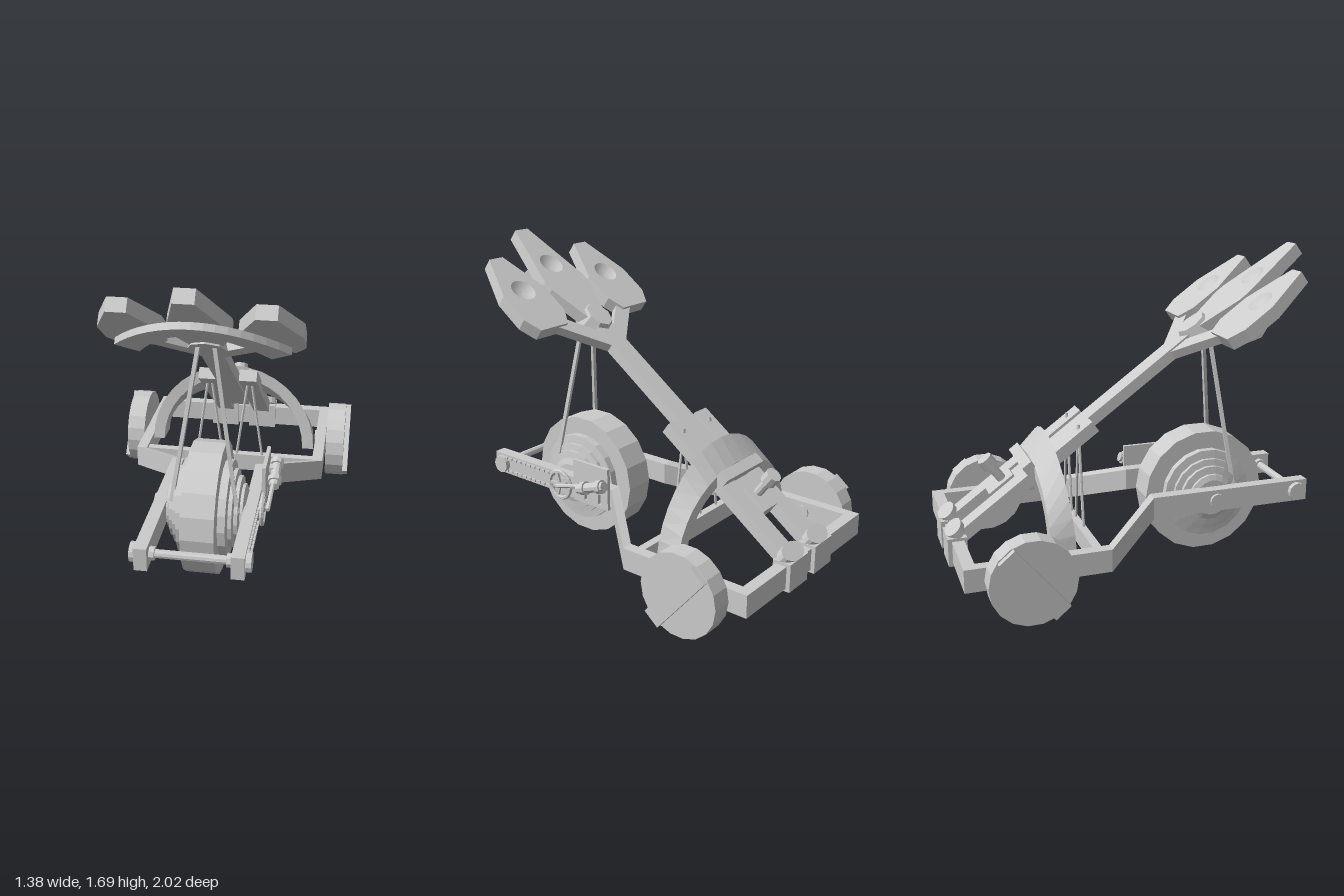
import * as THREE from 'three';

const mat = new THREE.MeshStandardMaterial({ color: 0xcccccc, flatShading: true });
const smooth = new THREE.MeshStandardMaterial({ color: 0xcccccc, side: THREE.DoubleSide });

function add(parent, name, geo, x = 0, y = 0, z = 0, material = mat) {
  const m = new THREE.Mesh(geo, material);
  m.name = name;
  m.position.set(x, y, z);
  parent.add(m);
  return m;
}
const box = (p, name, w, h, d, x, y, z) => add(p, name, new THREE.BoxGeometry(w, h, d), x, y, z);

// Cylinder whose axis runs along x
function disc(p, name, r, w, x, y, z, seg = 16) {
  return add(p, name, new THREE.CylinderGeometry(r, r, w, seg).rotateZ(Math.PI / 2), x, y, z);
}

// Straight bar between two points
function bar(p, name, a, b, w, h, round = 0) {
  const A = new THREE.Vector3(...a), B = new THREE.Vector3(...b), len = A.distanceTo(B);
  const geo = round ? new THREE.CylinderGeometry(w, w, len, round).rotateX(Math.PI / 2) : new THREE.BoxGeometry(w, h, len);
  const m = add(p, name, geo);
  m.position.copy(A).lerp(B, 0.5);
  m.quaternion.setFromUnitVectors(new THREE.Vector3(0, 0, 1), B.clone().sub(A).normalize());
  return m;
}

// Solid skin over a row of four-cornered cross-sections, turned outward
function loft(sections) {
  const pos = [], idx = [], n = sections.length;
  sections.forEach(s => s.forEach(v => pos.push(...v)));
  for (let i = 0; i < n - 1; i++) for (let j = 0; j < 4; j++) {
    const a = i * 4 + j, b = i * 4 + (j + 1) % 4;
    idx.push(a, b, b + 4, a, b + 4, a + 4);
  }
  const e = (n - 1) * 4;
  idx.push(0, 2, 1, 0, 3, 2, e, e + 1, e + 2, e, e + 2, e + 3);
  const v = i => new THREE.Vector3().fromArray(pos, i * 3);
  let volume = 0;
  for (let i = 0; i < idx.length; i += 3) volume += v(idx[i]).dot(v(idx[i + 1]).cross(v(idx[i + 2])));
  if (volume < 0) idx.reverse();
  let g = new THREE.BufferGeometry();
  g.setAttribute('position', new THREE.Float32BufferAttribute(pos, 3));
  g.setIndex(idx);
  g = g.toNonIndexed();
  g.computeVertexNormals();
  return g;
}

// Six-sided paddle with a shallow round bowl in its upper face
function paddle(parent, x, s0, sMid0, sMid1, s1, backHalf, cup) {
  const g = new THREE.Group();
  g.name = 'paddle';
  const outline = [[-backHalf, s0], [backHalf, s0], [0.15, sMid0], [0.15, sMid1], [0.048, s1], [-0.048, s1], [-0.15, sMid1], [-0.15, sMid0]];
  const shape = () => new THREE.Shape(outline.map(([a, b]) => new THREE.Vector2(a, b)));
  const slab = (s, depth) => new THREE.ExtrudeGeometry(s, { depth, bevelEnabled: false, curveSegments: 10 }).rotateX(Math.PI / 2);
  const top = shape();
  top.holes.push(new THREE.Path().absarc(0, cup, 0.07, 0, Math.PI * 2, true));
  add(g, 'paddleTop', slab(top, 0.025), 0, 0.035, 0);
  add(g, 'paddleBase', slab(shape(), 0.045), 0, 0.01, 0);
  const profile = [[0, -0.023], [0.025, -0.021], [0.05, -0.012], [0.07, 0]].map(q => new THREE.Vector2(...q));
  add(g, 'bowl', new THREE.LatheGeometry(profile, 20), 0, 0.035, cup, smooth);
  g.position.x = x;
  parent.add(g);
}

export function createModel() {
  const root = new THREE.Group();
  root.name = 'catapultCart';

  // Chassis: mirrored bent rails, rear bar and cross bar
  const path = [[1, 0.2, 0.265, 0.29, 0.41], [0.09, 0.2, 0.265, 0.29, 0.41], [-0.235, 0.49, 0.55, 0.165, 0.285], [-0.975, 0.49, 0.55, 0.165, 0.285]];
  for (const s of [-1, 1]) {
    add(root, 'sideRail', loft(path.map(([z, a, b, lo, hi]) => [[s * a, lo, z], [s * b, lo, z], [s * b, hi, z], [s * a, hi, z]])));
    disc(root, 'frontAxleCap', 0.05, 0.03, s * 0.278, 0.35, 0.935, 12);
    disc(root, 'frontAxleNut', 0.035, 0.03, s * 0.188, 0.35, 0.935, 8);
  }
  box(root, 'rearBar', 1.1, 0.12, 0.062, 0, 0.225, -0.944);
  box(root, 'crossBar', 0.99, 0.1, 0.045, 0, 0.22, -0.288);
  disc(root, 'frontRod', 0.022, 0.54, 0, 0.35, 0.935, 10);

  // Front wheel: wide tyre with stepped hubs
  const steps = [[0, -0.205], [0.1, -0.205], [0.13, -0.195], [0.13, -0.18], [0.17, -0.175], [0.17, -0.155], [0.205, -0.15], [0.205, -0.13], [0.25, -0.125], [0.25, -0.085], [0.345, -0.085]];
  const profile = [...steps, ...steps.map(([r, y]) => [r, -y]).reverse()].map(q => new THREE.Vector2(...q));
  add(root, 'frontWheel', new THREE.LatheGeometry(profile, 18).rotateZ(Math.PI / 2), 0, 0.345, 0.455);
  disc(root, 'frontWheelAxle', 0.04, 0.56, 0, 0.35, 0.455, 12);

  // Rear wheels with a raised diagonal bar
  for (const s of [-1, 1]) {
    disc(root, 'rearWheel', 0.22, 0.105, s * 0.61, 0.22, -0.66, 18);
    disc(root, 'rearAxle', 0.04, 0.1, s * 0.53, 0.225, -0.66, 10);
    box(root, 'wheelBar', 0.03, 0.1, 0.42, s * 0.677, 0.22, -0.66).rotation.x = 0.88;
  }

  // Arch with a top that slopes down to the rear
  const arch = [];
  for (let i = 0; i <= 18; i++) {
    const a = Math.PI * i / 18, c = Math.cos(a), t = Math.sin(a), zf = -0.4 - 0.035 * t;
    arch.push([[0.485 * c, 0.27 + 0.495 * t, zf], [0.48 * c, 0.27 + 0.375 * t, -0.53], [0.415 * c, 0.27 + 0.32 * t, -0.53], [0.42 * c, 0.27 + 0.425 * t, zf]]);
  }
  add(root, 'arch', loft(arch));

  // Throwing arm assembly; local z runs up along the arm
  const arm = new THREE.Group();
  arm.name = 'throwingArm';
  arm.position.y = 0.94;
  arm.rotation.x = -Math.PI / 5;
  root.add(arm);
  box(arm, 'armBeam', 0.12, 0.06, 1.5, 0, 0, -0.14);
  paddle(arm, 0, 0.5, 0.77, 0.83, 1.235, 0.06, 0.95);
  const neck = add(arm, 'armNeck', new THREE.CylinderGeometry(0.07, 0.1, 0.1, 8), 0, 0.005, 0.52);
  neck.scale.z = 1.2;
  for (const s of [-1, 1]) {
    paddle(arm, s * 0.33, 0.53, 0.62, 0.8, 1.06, 0.1, 0.81);
    bar(arm, 'fork', [0, -0.005, 0.33], [s * 0.34, -0.005, 0.63], 0.085, 0.05);
    box(arm, 'bedBeam', 0.1, 0.065, 0.94, s * 0.115, 0.01, -0.71);
  }
  // Curved bow beneath the paddles
  const bow = [];
  for (let i = 0; i <= 16; i++) {
    const u = i / 8 - 1, x = 0.37 * u, z = 0.97 - 0.34 * u * u, w = 0.055, k = u * 0.05;
    bow.push([[x - k, -0.05, z - w], [x + k, -0.05, z + w], [x + k, -0.085, z + w], [x - k, -0.085, z - w]]);
  }
  add(arm, 'bow', loft(bow));

  // Crosspiece and release peg at the foot of the arm
  box(arm, 'crosspiece', 0.33, 0.06, 0.06, 0, 0.06, -0.64);
  box(arm, 'pegBlock', 0.12, 0.07, 0.16, 0, 0.02, -0.81);
  add(arm, 'pegStem', new THREE.CylinderGeometry(0.025, 0.025, 0.14, 10), 0, 0.09, -0.79);
  add(arm, 'pegHead', new THREE.CylinderGeometry(0.042, 0.042, 0.06, 10), 0, 0.175, -0.79);

  // Stays, tie rods and the clamps around the rear bar
  for (const s of [-1, 1]) {
    bar(root, 'stay', [s * 0.04, 1.24, 0.48], [s * 0.17, 0.4, 0.59], 0.02, 0.02);
    for (const x of [0.04, 0.195]) bar(root, 'tieRod', [s * 0.115, 0.81, -0.28], [s * x, 0.25, -0.28], 0.008, 0, 6);
    box(root, 'rearClamp', 0.17, 0.15, 0.1, s * 0.12, 0.225, -0.947);
    const cap = add(root, 'clampCap', new THREE.CylinderGeometry(0.085, 0.085, 0.04, 16), s * 0.12, 0.315, -0.945);
    cap.scale.z = 0.6;
    cap.rotation.x = -0.65;
  }

  // Crank side: slotted plate, spoked wheel, chain and cylinder
  const plate = new THREE.Shape([[0.1, 0.29], [0.35, 0.29], [0.35, 0.53], [0.1, 0.53]].map(q => new THREE.Vector2(...q)));
  for (const z of [0.15, 0.25]) {
    plate.holes.push(new THREE.Path([[z, 0.31], [z, 0.37], [z + 0.02, 0.37], [z + 0.02, 0.31]].map(q => new THREE.Vector2(...q))));
  }
  const plateMesh = add(root, 'crankPlate', new THREE.ExtrudeGeometry(plate, { depth: 0.02, bevelEnabled: false }), 0.285, 0, 0);
  plateMesh.rotation.y = -Math.PI / 2;
  const crank = new THREE.Group();
  crank.name = 'crankWheel';
  crank.position.set(0.285, 0.35, 0.455);
  root.add(crank);
  add(crank, 'crankRim', new THREE.TorusGeometry(0.078, 0.012, 6, 20).rotateY(Math.PI / 2));
  for (let i = 0; i < 5; i++) {
    const a = i * Math.PI * 0.4;
    bar(crank, 'spoke', [0, 0, 0], [0, 0.078 * Math.sin(a), 0.078 * Math.cos(a)], 0.014, 0.018);
  }
  for (const y of [0.31, 0.39]) {
    for (let i = 0; i < 11; i++) box(root, 'chainLink', 0.012, 0.014, 0.03, 0.27, y, 0.53 + i * 0.038);
  }
  bar(root, 'pushRod', [0.31, 0.35, 0.46], [0.32, 0.42, 0.2], 0.012, 0, 8);
  bar(root, 'pushCylinder', [0.322, 0.385, 0.28], [0.322, 0.45, 0.09], 0.028, 0, 10);
  bar(root, 'cylinderCollar', [0.322, 0.395, 0.25], [0.322, 0.405, 0.22], 0.038, 0, 10);
  bar(root, 'cylinderCollar', [0.322, 0.435, 0.135], [0.322, 0.445, 0.105], 0.038, 0, 10);
  box(root, 'cylinderMount', 0.05, 0.03, 0.05, 0.3, 0.43, 0.16);
  return root;
}
